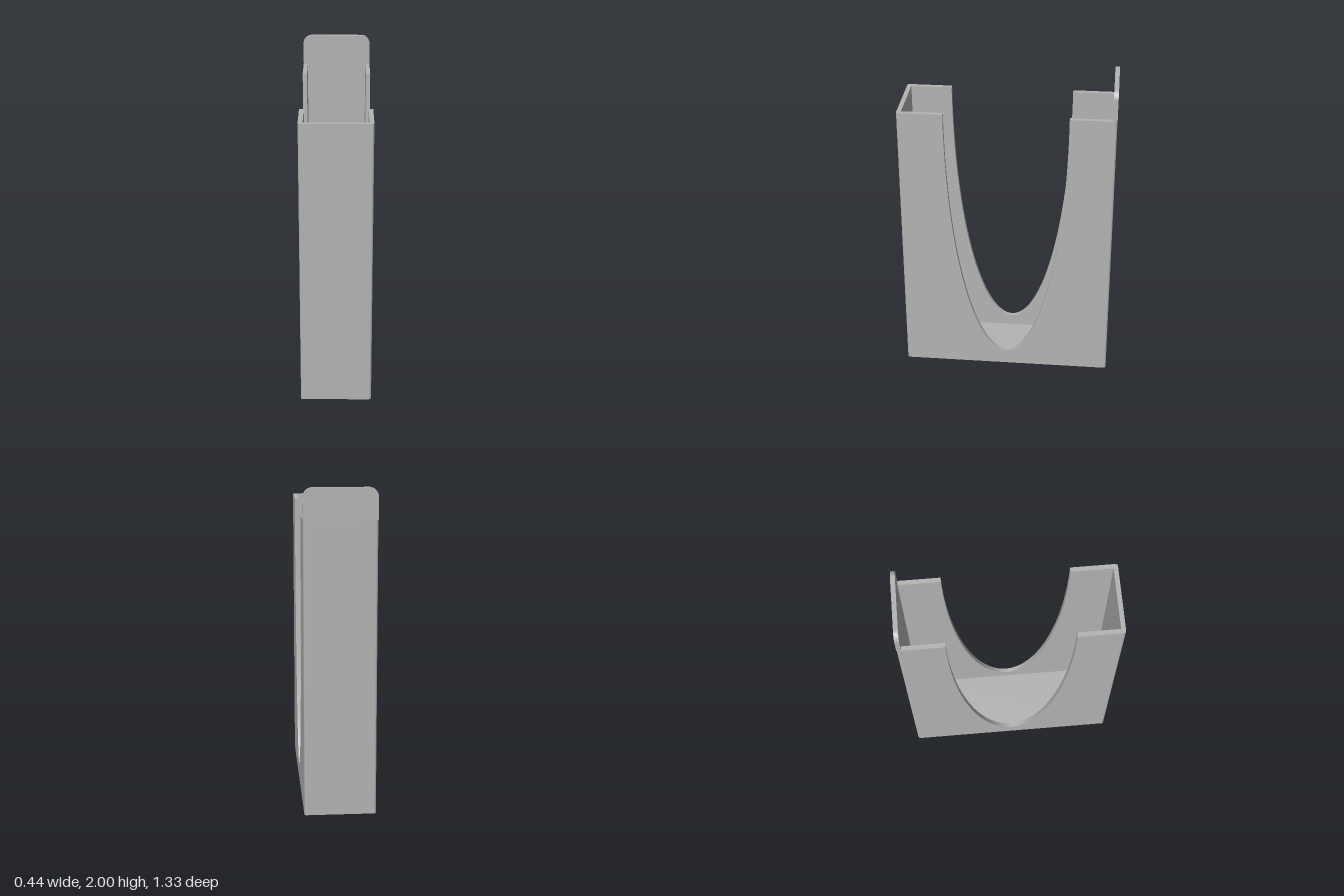
import * as THREE from 'three';

const W = 0.22, D = 0.667, H = 1.81, T = 0.028; // half width, half depth, wall height, wall thickness
const TOP = 2, R = 0.015, TAB_R = 0.055;
const CUT = 0.383, CUT_BOTTOM = 0.1;

export function createModel() {
  const group = new THREE.Group();
  const grey = new THREE.MeshStandardMaterial({ color: 0xb3b3b3 });
  grey.name = 'grey plastic';

  const add = (name, geometry) => {
    const mesh = new THREE.Mesh(geometry, grey);
    mesh.name = name;
    group.add(mesh);
    return mesh;
  };
  const extrude = (shape, depth, curveSegments) =>
    new THREE.ExtrudeGeometry(shape, { depth, curveSegments, bevelEnabled: false });

  // Side walls with a deep half-ellipse cut down from the rim
  const inner = D - T;
  const side = new THREE.Shape();
  side.moveTo(-inner, 0);
  side.lineTo(inner, 0);
  side.lineTo(inner, H);
  side.lineTo(CUT, H);
  side.absellipse(0, H, CUT, H - CUT_BOTTOM, 0, Math.PI, true);
  side.lineTo(-inner, H);
  side.closePath();
  for (const [name, x] of [['leftWall', W], ['rightWall', -W + T]]) {
    add(name, extrude(side, T, 64).rotateY(-Math.PI / 2).translate(x, 0, 0));
  }

  // Front and back walls, outer vertical corners slightly rounded
  const footprint = new THREE.Shape();
  footprint.moveTo(-W, inner);
  footprint.lineTo(W, inner);
  footprint.lineTo(W, D - R);
  footprint.absarc(W - R, D - R, R, 0, Math.PI / 2, false);
  footprint.lineTo(-W + R, D);
  footprint.absarc(-W + R, D - R, R, Math.PI / 2, Math.PI, false);
  footprint.closePath();
  add('backWall', extrude(footprint, H, 6).rotateX(-Math.PI / 2));
  add('frontWall', extrude(footprint, H, 6).rotateX(-Math.PI / 2).rotateY(Math.PI));

  // Floor between the walls
  add('floor', new THREE.BoxGeometry(2 * (W - T), T, 2 * inner).translate(0, T / 2, 0));

  // Mounting tab standing on the back wall, rounded at the top
  const tab = new THREE.Shape();
  tab.moveTo(-W, H);
  tab.lineTo(W, H);
  tab.lineTo(W, TOP - TAB_R);
  tab.absarc(W - TAB_R, TOP - TAB_R, TAB_R, 0, Math.PI / 2, false);
  tab.lineTo(-W + TAB_R, TOP);
  tab.absarc(-W + TAB_R, TOP - TAB_R, TAB_R, Math.PI / 2, Math.PI, false);
  tab.closePath();
  add('backTab', extrude(tab, T, 12).translate(0, 0, -D));

  return group;
}
